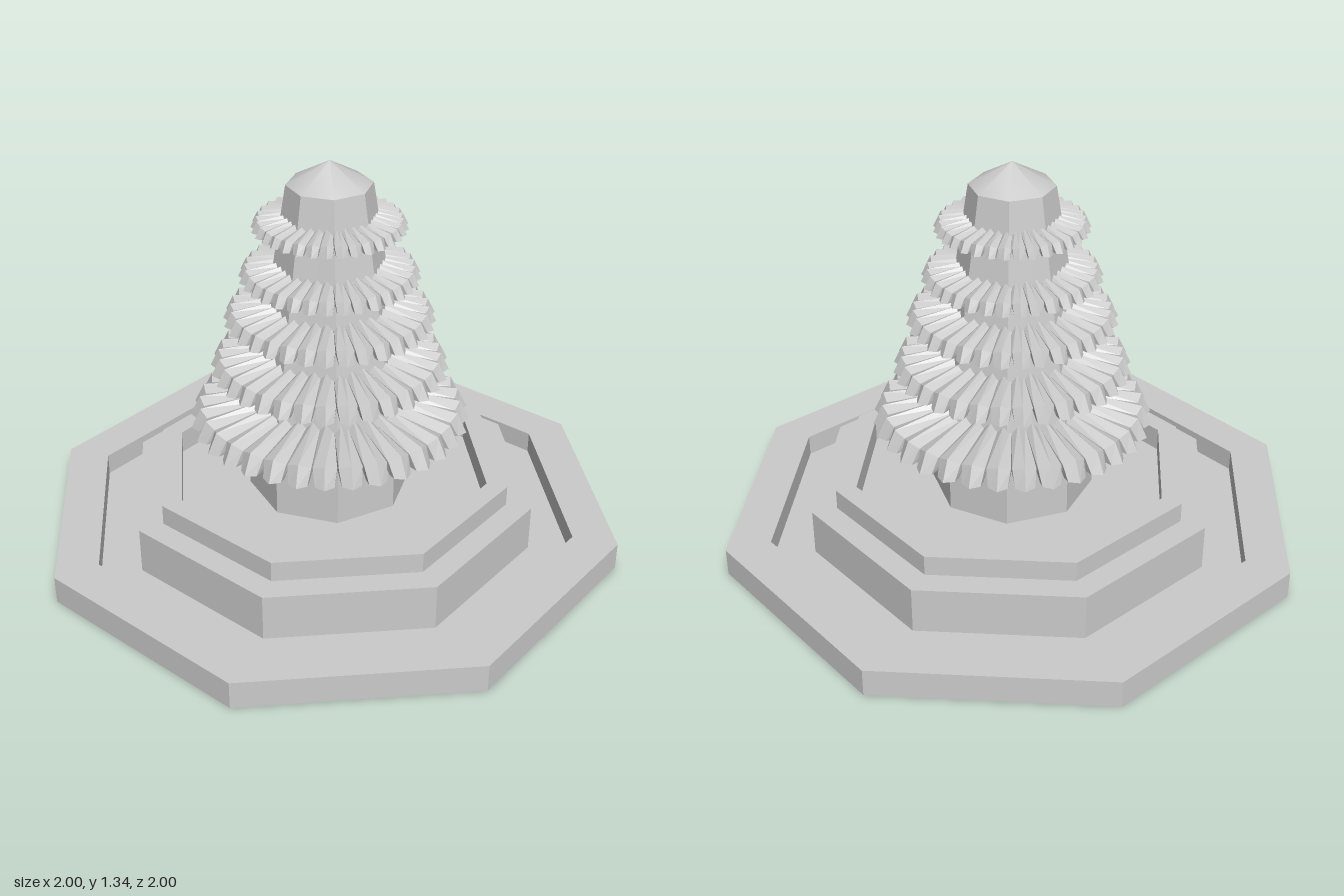
import * as THREE from 'three';
import { mergeGeometries } from 'three/addons/utils/BufferGeometryUtils.js';

const grey = new THREE.MeshStandardMaterial({ color: 0xcccccc, flatShading: true });
const smoothGrey = new THREE.MeshStandardMaterial({ color: 0xcccccc });

function add(group, name, geometry, material = grey) {
  const mesh = new THREE.Mesh(geometry, material);
  mesh.name = name;
  group.add(mesh);
  return mesh;
}

// Octagonal turned solid with corners on the x and z axes
function octagonLathe(profile) {
  return new THREE.LatheGeometry(profile.map(([r, y]) => new THREE.Vector2(r, y)), 8);
}

// One ridged leaf along +x: runs outward, then bends down at the tip
function leafGeometry() {
  // ridge radius, ridge height, normal x, normal y, half width
  const stations = [
    [0.22, 0.105, 0.17, 0.98, 0.021],
    [0.437, 0.068, 0.72, 0.69, 0.038],
    [0.47, 0.0, 1.0, 0.0, 0.031],
  ];
  const ridge = 0.022, thick = 0.05;
  const pos = [], index = [];
  for (const [r, y, nx, ny, w] of stations) {
    const section = [[-w, -thick], [-w, -ridge], [0, 0], [w, -ridge], [w, -thick]];
    for (const [z, d] of section) pos.push(r + nx * d, y + ny * d, z);
  }
  const n = 5;
  for (let i = 0; i < stations.length - 1; i++) {
    for (let j = 0; j < n; j++) {
      const k = (j + 1) % n;
      const a = i * n + j, b = i * n + k, c = b + n, d = a + n;
      index.push(a, b, c, a, c, d);
    }
  }
  // End caps
  const last = (stations.length - 1) * n;
  for (let j = 1; j < n - 1; j++) {
    index.push(0, j + 1, j, last, last + j, last + j + 1);
  }
  const g = new THREE.BufferGeometry();
  g.setAttribute('position', new THREE.Float32BufferAttribute(pos, 3));
  g.setIndex(index);
  g.computeVertexNormals();
  return g;
}

export function createModel() {
  const model = new THREE.Group();
  model.name = 'tieredFountain';

  // Stepped octagonal basins
  add(model, 'lowerBasin', octagonLathe([
    [0, 0], [1, 0], [1, 0.095], [0.85, 0.095], [0.85, 0.02], [0.7, 0.02],
  ]));
  add(model, 'middleStep', octagonLathe([[0.705, 0.02], [0.705, 0.18], [0.62, 0.18]]));
  add(model, 'upperBasin', octagonLathe([
    [0.62, 0.18], [0.62, 0.25], [0.55, 0.25], [0.55, 0.17], [0, 0.17],
  ]));

  // Octagonal column, flat sides facing the axes
  const corner = 1 / Math.cos(Math.PI / 8);
  const column = (name, top, bottom, y0, y1) => {
    const g = new THREE.CylinderGeometry(top * corner, bottom * corner, y1 - y0, 8);
    g.rotateY(Math.PI / 8);
    g.translate(0, (y0 + y1) / 2, 0);
    add(model, name, g);
  };
  column('columnBase', 0.255, 0.255, 0.16, 0.46);
  column('column', 0.128, 0.25, 0.44, 1.26);

  // Pointed cap
  const cap = new THREE.ConeGeometry(0.128 * corner, 0.077, 8);
  cap.rotateY(Math.PI / 8);
  cap.translate(0, 1.2985, 0);
  add(model, 'cap', cap, smoothGrey);

  // Rings of drooping leaves, shrinking towards the top
  const count = 33;
  const leaves = [];
  for (let i = 0; i < count; i++) {
    leaves.push(leafGeometry().rotateY((i / count) * Math.PI * 2));
  }
  const ring = mergeGeometries(leaves);
  const tiers = [[0.47, 0.43], [0.395, 0.62], [0.347, 0.795], [0.294, 0.945], [0.25, 1.115]];
  tiers.forEach(([radius, y], i) => {
    const mesh = add(model, `leafRing${i + 1}`, ring);
    mesh.scale.setScalar(radius / 0.47);
    mesh.position.y = y;
  });

  return model;
}
